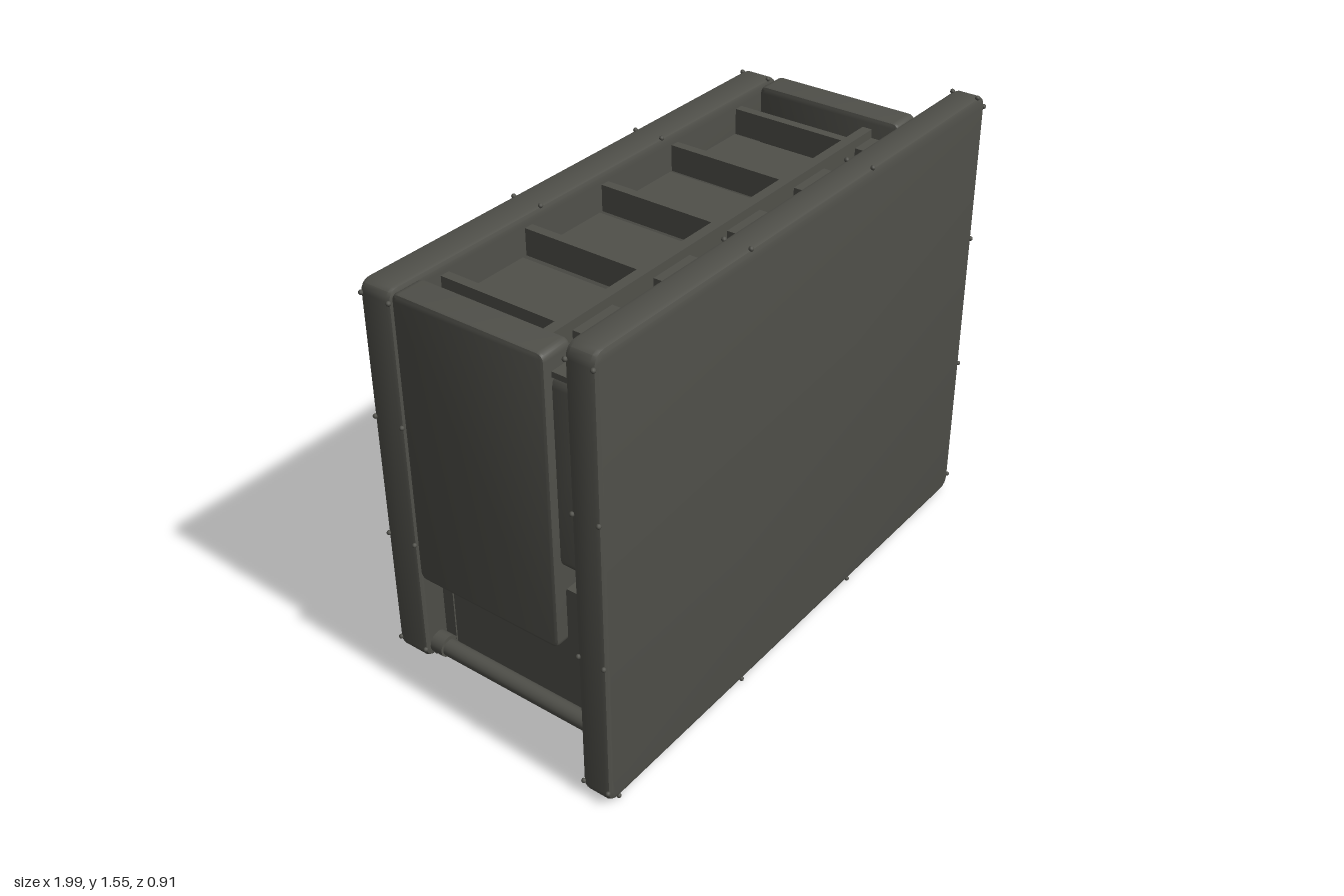
import * as THREE from 'three';
import { toCreasedNormals } from 'three/addons/utils/BufferGeometryUtils.js';

export function createModel() {
  const model = new THREE.Group();
  model.name = 'cabinet';
  const grey = new THREE.MeshStandardMaterial({ color: 0x50504a });
  grey.name = 'dark grey';

  const add = (name, geometry, x = 0, y = 0, z = 0) => {
    const mesh = new THREE.Mesh(geometry, grey);
    mesh.name = name;
    mesh.position.set(x, y, z);
    model.add(mesh);
    return mesh;
  };

  // Box given by its limits on each axis
  const box = (name, x0, x1, y0, y1, z0, z1) =>
    add(name, new THREE.BoxGeometry(x1 - x0, y1 - y0, z1 - z0), (x0 + x1) / 2, (y0 + y1) / 2, (z0 + z1) / 2);

  // Slab with rounded outline and bevelled rims, thickness along z
  const slabGeometry = (w, h, d, radius, bevel) => {
    const a = w / 2 - bevel, b = h / 2 - bevel, r = radius;
    const s = new THREE.Shape();
    s.moveTo(-a + r, -b);
    s.lineTo(a - r, -b);
    s.quadraticCurveTo(a, -b, a, -b + r);
    s.lineTo(a, b - r);
    s.quadraticCurveTo(a, b, a - r, b);
    s.lineTo(-a + r, b);
    s.quadraticCurveTo(-a, b, -a, b - r);
    s.lineTo(-a, -b + r);
    s.quadraticCurveTo(-a, -b, -a + r, -b);
    const g = new THREE.ExtrudeGeometry(s, {
      depth: d - 2 * bevel, bevelEnabled: true, bevelSize: bevel, bevelThickness: bevel, bevelSegments: 2, curveSegments: 4,
    });
    g.translate(0, 0, -d / 2 + bevel);
    return toCreasedNormals(g, 0.6);
  };
  const slab = (name, x0, x1, y0, y1, z0, z1, r, bevel) =>
    add(name, slabGeometry(x1 - x0, y1 - y0, z1 - z0, r, bevel), (x0 + x1) / 2, (y0 + y1) / 2, (z0 + z1) / 2);

  // Large front and back panels
  slab('frontPanel', -0.985, 0.985, 0.012, 1.55, 0.35, 0.45, 0.03, 0.016);
  slab('backPanel', -0.93, 0.93, 0.125, 1.44, -0.43, -0.315, 0.025, 0.014);

  // Tiny fixings along the rims of both panels
  const studGeometry = new THREE.SphereGeometry(0.008, 8, 6);
  const studs = (name, w, y0, y1, z) => {
    const h = y1 - y0;
    for (const s of [-1, 1]) {
      for (const t of [0.34, 0.66]) add(name, studGeometry, s * w, y0 + h * t, z);
      for (const t of [0.03, 0.97]) add(name, studGeometry, s * w, y0 + h * t, z);
      for (const x of [-0.32 * w, 0.31 * w, s * w * 0.95]) {
        add(name, studGeometry, x, s < 0 ? y0 : y1, z);
      }
    }
  };
  for (const z of [0.355, 0.445]) studs('frontStud', 0.985, 0.012, 1.55, z);
  for (const z of [-0.425, -0.32]) studs('backStud', 0.93, 0.125, 1.44, z);

  // Three pulls on the back
  for (const x of [-0.66, -0.005, 0.655]) {
    slab('backPull', x - 0.105, x + 0.105, 0.79, 0.88, -0.458, -0.425, 0.01, 0.006);
  }

  // Slatted vent on the back
  box('ventPlate', -0.5, 0.49, 0.32, 0.59, -0.445, -0.428);
  for (let i = 0; i < 18; i++) {
    const y = 0.327 + i * 0.015;
    box('ventSlat', -0.49, 0.48, y - 0.003, y + 0.003, -0.45, -0.444);
  }

  for (const s of [-1, 1]) {
    // Thick side wall, slab turned to face sideways
    const side = add('sideWall', slabGeometry(0.54, 0.985, 0.11, 0.015, 0.01), s * 0.875, 0.9475, -0.038);
    side.rotation.y = Math.PI / 2;

    // Lower side, corner post and bracket
    box('lowerSide', s * 0.87 - 0.015, s * 0.87 + 0.015, 0.18, 0.645, -0.22, 0.35);
    box('cornerPost', s * 0.87 - 0.02, s * 0.87 + 0.02, 0.19, 0.6, -0.26, -0.22);
    const wedge = new THREE.Shape([new THREE.Vector2(0.225, 0.15), new THREE.Vector2(0.262, 0.185), new THREE.Vector2(0.225, 0.185)]);
    const bracket = add('wedgeBracket', new THREE.ExtrudeGeometry(wedge, { depth: 0.05, bevelEnabled: false }), s * 0.865 - 0.025);
    bracket.rotation.y = Math.PI / 2;

    // Runner rod with end collar
    const rod = add('runnerRod', new THREE.CylinderGeometry(0.028, 0.028, 0.6, 20), s * 0.922, 0.222, 0.05);
    const collar = add('rodCollar', new THREE.CylinderGeometry(0.036, 0.036, 0.045, 20), s * 0.922, 0.226, -0.243);
    rod.rotation.x = collar.rotation.x = Math.PI / 2;

    // Thin upright rail hooked onto the front panel
    box('uprightRail', s * 0.82 - 0.006, s * 0.82 + 0.006, 0.12, 1.44, 0.284, 0.296);
    for (const y of [0.126, 1.434]) {
      box('railHook', s * 0.82 - 0.006, s * 0.82 + 0.006, y - 0.006, y + 0.006, 0.284, 0.352);
    }
  }

  // Upper front bin with rim
  slab('upperBin', -0.9, 0.9, 0.73, 1.365, 0.19, 0.352, 0.03, 0.008);
  box('upperBinRim', -0.9, 0.9, 1.36, 1.378, 0.18, 0.352);

  // Lower tub
  box('tubFront', -0.88, 0.88, 0.19, 0.645, 0.32, 0.352);
  box('tubRim', -0.885, 0.885, 0.615, 0.65, 0.235, 0.352);
  box('tubBack', -0.86, 0.86, 0.19, 0.645, -0.25, -0.225);
  box('tubFloor', -0.88, 0.88, 0.15, 0.192, -0.215, 0.345);
  slab('underBox', -0.215, 0.215, 0.1, 0.16, -0.175, 0.315, 0.008, 0.006);
  box('rearLedge', -0.78, 0.78, 0.6, 0.63, -0.318, -0.22);

  // Rack rails across the open top
  box('rackRail', -0.82, 0.82, 1.3, 1.4, 0.1, 0.135);
  box('rackLowerRail', -0.82, 0.82, 1.22, 1.33, 0.135, 0.185);

  // Cross dividers, catches and thin shelves
  for (let i = 0; i < 5; i++) {
    const x = -0.715 + i * 0.355;
    box('divider', x - 0.016, x + 0.016, 1.31, 1.4, -0.318, 0.105);
    box('catch', x + 0.015, x + 0.185 > 0.82 ? 0.82 : x + 0.185, 1.34, 1.37, 0.13, 0.17);
    box('thinShelf', x + 0.017, x + 0.285, 1.332, 1.338, -0.28, 0.08);
  }

  return model;
}
